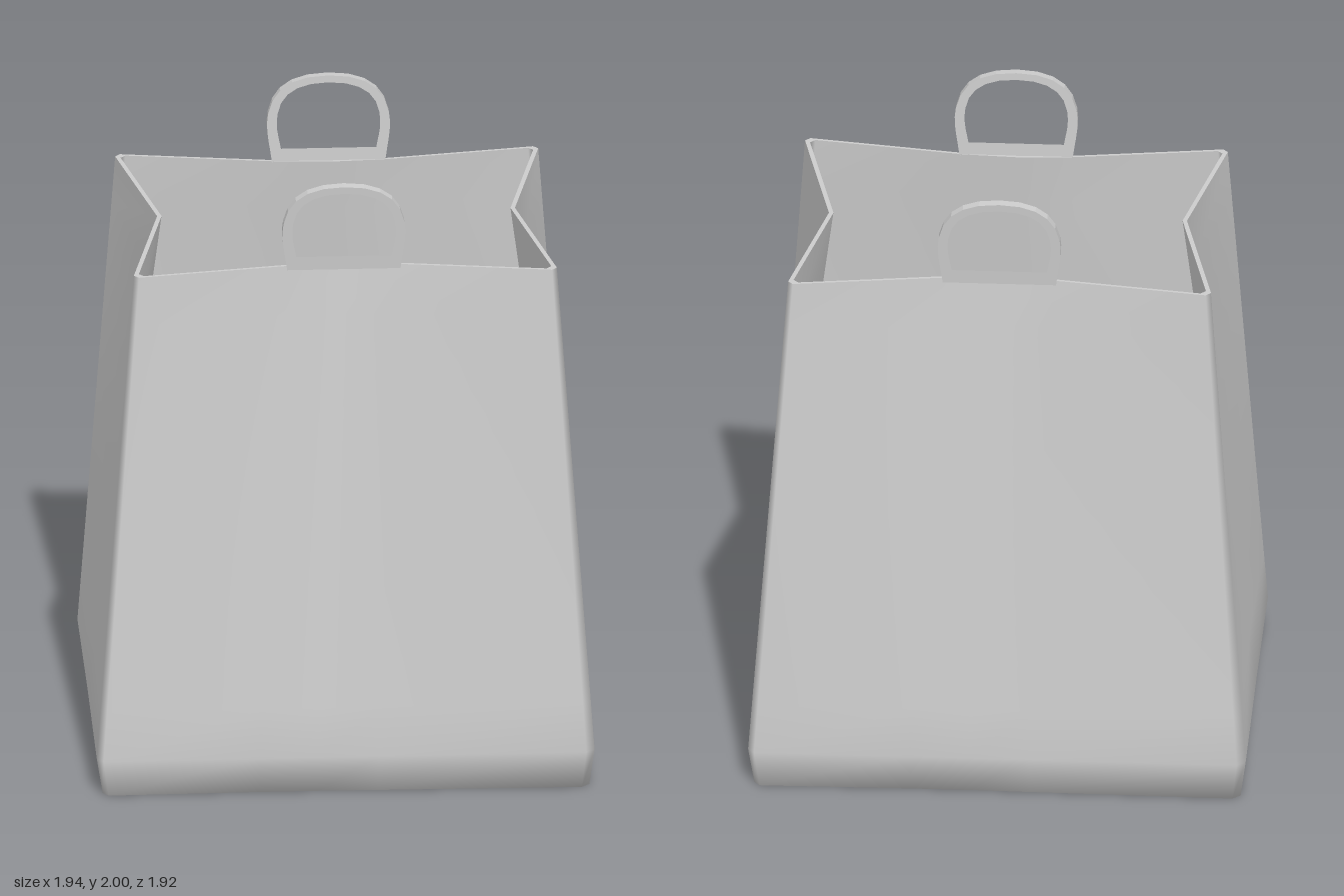
import * as THREE from 'three';

const grey = new THREE.MeshStandardMaterial({ color: 0xcccccc });

// Half of the outline; the other half is its point reflection.
// Order: front corner, long side, right corner, fold of the short side.
const TOP = {
  corner: [-0.14, 0.83], long: [[0.17, 0.44], [0.285, 0.32], [0.42, 0.21]],
  right: [0.845, -0.075], fold: [0.41, -0.385],
};
const BASE = {
  corner: [-0.165, 0.975], long: [[0.21, 0.63], [0.345, 0.503], [0.485, 0.375]],
  right: [0.985, -0.085], fold: [0.573, -0.53],
};
const FOOT = {
  corner: [-0.16, 0.955], long: [[0.2, 0.615], [0.335, 0.49], [0.475, 0.365]],
  right: [0.97, -0.08], fold: [0.53, -0.49],
};

const mix = (a, b, t) => [a[0] + (b[0] - a[0]) * t, a[1] + (b[1] - a[1]) * t];

// Closed ring of [x, y, z] with a narrow bevel at each corner
function ring(o, y, scale = 1) {
  const neg = (p) => [-p[0], -p[1]];
  const b = 0.04;
  const half = [
    mix(o.corner, neg(o.fold), b), mix(o.corner, o.long[0], b),
    ...o.long,
    mix(o.right, o.long[2], b), mix(o.right, o.fold, b),
    o.fold,
  ];
  return [...half, ...half.map(neg)].map(([x, z]) => [x * scale, y, z * scale]);
}

// Rings between two rings, so that twisted panels stay smooth
function between(a, b, steps) {
  const out = [];
  for (let s = 0; s <= steps; s++) {
    out.push(a.map((p, i) => p.map((v, k) => v + (b[i][k] - v) * (s / steps))));
  }
  return out;
}

// Skin over a stack of rings of equal point count
function skin(name, rings) {
  const n = rings[0].length;
  const index = [];
  for (let r = 0; r < rings.length - 1; r++) {
    for (let i = 0; i < n; i++) {
      const a = r * n + i, b = r * n + ((i + 1) % n);
      index.push(a, b, b + n, a, b + n, a + n);
    }
  }
  const geo = new THREE.BufferGeometry();
  geo.setAttribute('position', new THREE.Float32BufferAttribute(rings.flat(2), 3));
  geo.setIndex(index);
  geo.computeVertexNormals();
  const mesh = new THREE.Mesh(geo, grey);
  mesh.name = name;
  return mesh;
}

// Flat loop with a straight lower bar
function handle(name) {
  const s = new THREE.Shape();
  s.moveTo(-0.178, 0);
  s.bezierCurveTo(-0.185, 0.06, -0.2, 0.11, -0.19, 0.16);
  s.bezierCurveTo(-0.175, 0.24, -0.12, 0.285, 0, 0.285);
  s.bezierCurveTo(0.12, 0.285, 0.175, 0.24, 0.19, 0.16);
  s.bezierCurveTo(0.2, 0.11, 0.185, 0.06, 0.178, 0);
  s.closePath();
  const h = new THREE.Path();
  h.moveTo(-0.15, 0.045);
  h.bezierCurveTo(-0.155, 0.08, -0.168, 0.11, -0.16, 0.16);
  h.bezierCurveTo(-0.15, 0.225, -0.1, 0.262, 0, 0.262);
  h.bezierCurveTo(0.1, 0.262, 0.15, 0.225, 0.16, 0.16);
  h.bezierCurveTo(0.168, 0.11, 0.155, 0.08, 0.15, 0.045);
  h.closePath();
  s.holes.push(h);
  const geo = new THREE.ExtrudeGeometry(s, { depth: 0.03, bevelEnabled: false, curveSegments: 5 });
  geo.translate(0, 0, -0.015);
  geo.rotateX(0.06);
  const mesh = new THREE.Mesh(geo, grey);
  mesh.name = name;
  return mesh;
}

export function createModel() {
  const group = new THREE.Group();
  group.name = 'carrierBag';

  const foot = ring(FOOT, 0);
  const base = ring(BASE, 0.12);
  const rim = ring(TOP, 1.72);
  const innerRim = ring(TOP, 1.72, 0.975);
  const innerBase = ring(BASE, 0.12, 0.975);
  const innerFoot = ring(FOOT, 0.025, 0.975);
  const centre = (y) => foot.map(() => [0, y, 0]);

  // Outside: underside, rounded foot and tapering walls
  group.add(skin('outerWalls', [
    centre(0), ring(FOOT, 0, 0.8), foot, ...between(base, rim, 10),
  ]));
  // Top edge of the thin walls
  group.add(skin('rim', [rim, innerRim]));
  // Inside walls and floor
  group.add(skin('innerWalls', [
    ...between(innerRim, innerBase, 10), innerFoot, ring(FOOT, 0.025, 0.8), centre(0.025),
  ]));

  // One handle on each long side
  for (const [name, side] of [['frontHandle', 1], ['backHandle', -1]]) {
    const mesh = handle(name);
    mesh.position.set(0.302 * side, 1.715, 0.327 * side);
    mesh.rotation.y = 0.745 + (side < 0 ? Math.PI : 0);
    group.add(mesh);
  }
  return group;
}
